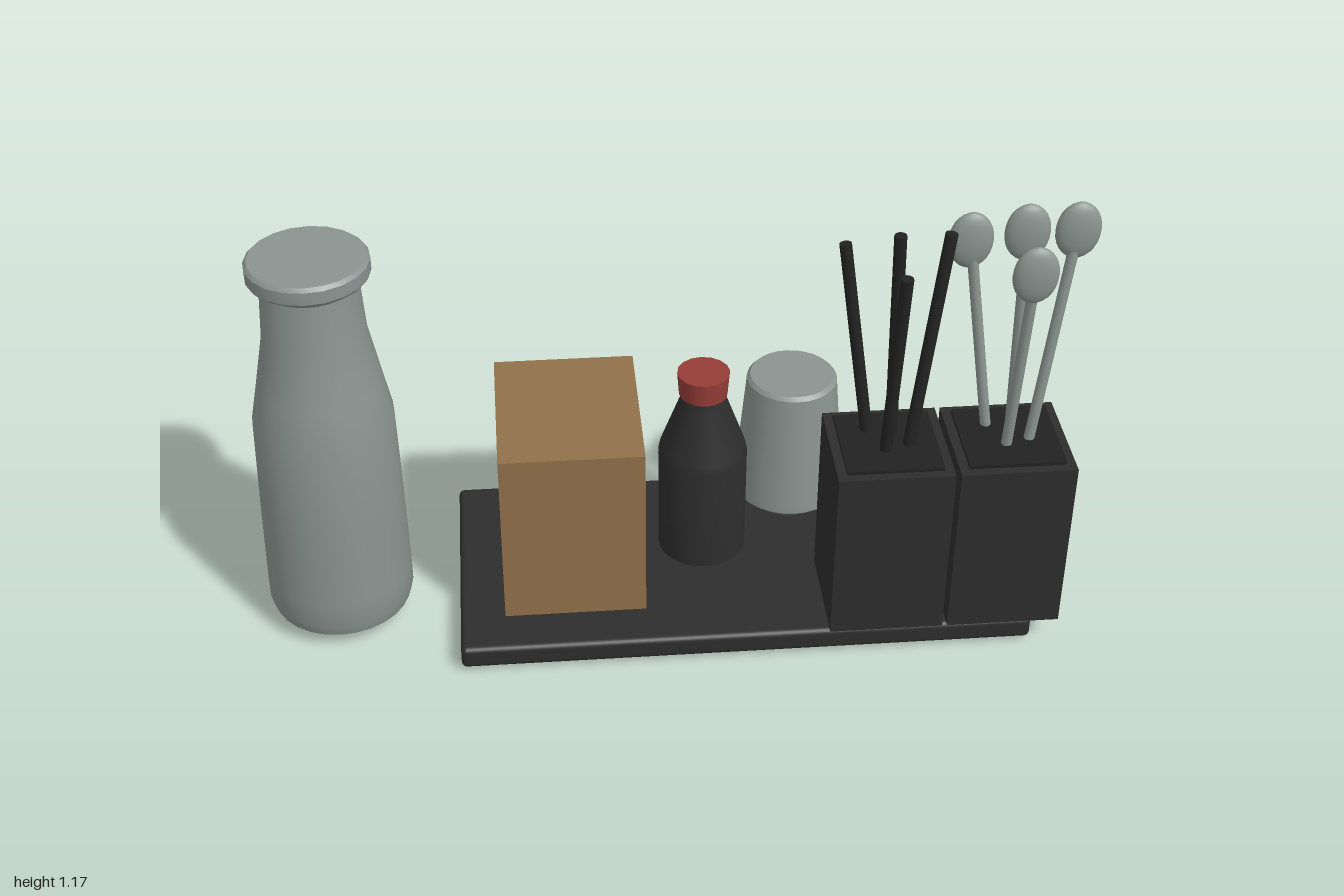
import * as THREE from 'three';
import { toCreasedNormals } from 'three/addons/utils/BufferGeometryUtils.js';
import { RoundedBoxGeometry } from 'three/addons/geometries/RoundedBoxGeometry.js';

const material = (name, color) => Object.assign(new THREE.MeshStandardMaterial({ color }), { name });

export function createModel() {
  const model = new THREE.Group();
  model.name = 'tablewareSet';
  const charcoal = material('charcoal', 0x2d2d2d);
  const black = material('black', 0x222222);
  const glass = material('greyGlass', 0x8a9490);
  const wood = material('tanWood', 0x90704a);
  const red = material('red', 0x963d37);

  const add = (name, geometry, mat, x, y, z, parent = model) => {
    const mesh = new THREE.Mesh(geometry, mat);
    mesh.name = name;
    mesh.position.set(x, y, z);
    parent.add(mesh);
    return mesh;
  };
  // box given by its minimum and maximum on each axis
  const box = (name, mat, x0, x1, y0, y1, z0, z1, parent) =>
    add(name, new THREE.BoxGeometry(x1 - x0, y1 - y0, z1 - z0), mat,
      (x0 + x1) / 2, (y0 + y1) / 2, (z0 + z1) / 2, parent);
  // closed turned shape from [radius, height] pairs, bottom to top
  const turned = (name, mat, profile, x, z, sides = 28) => {
    const points = profile.map(([r, y]) => new THREE.Vector2(r, y));
    return add(name, toCreasedNormals(new THREE.LatheGeometry(points, sides), 0.5), mat, x, 0, z);
  };
  // straight rod between two points
  const rod = (name, mat, from, to, radius, parent) => {
    const dir = to.clone().sub(from);
    const mid = from.clone().add(to).multiplyScalar(0.5);
    const mesh = add(name, new THREE.CylinderGeometry(radius, radius, dir.length(), 10), mat,
      mid.x, mid.y, mid.z, parent);
    mesh.quaternion.setFromUnitVectors(new THREE.Vector3(0, 1, 0), dir.normalize());
  };

  // tray and wooden block
  add('tray', new RoundedBoxGeometry(1.42, 0.06, 0.655, 3, 0.014), charcoal, 0.19, 0.04, 0.0275);
  box('woodenBlock', wood, -0.408, -0.055, 0.07, 0.545, -0.197, 0.235);

  // tall jar with flared lid
  turned('jar', glass, [[0, 0.02], [0.132, 0.02], [0.172, 0.045], [0.181, 0.075], [0.181, 0.14],
    [0.177, 0.35], [0.17, 0.6], [0.15, 0.7], [0.125, 0.83], [0.116, 0.975], [0.13, 0.995], [0, 0.995]], -0.82, 0.07);
  turned('jarLid', glass, [[0, 0.992], [0.14, 0.992], [0.146, 1.0], [0.146, 1.032], [0.138, 1.041], [0, 1.041]],
    -0.82, 0.07, 20);

  // upturned cup
  turned('cup', glass, [[0, 0.075], [0.105, 0.075], [0.145, 0.11], [0.144, 0.13], [0.117, 0.448],
    [0.108, 0.458], [0, 0.458]], 0.36, -0.21);

  // sauce bottle, its base showing under the tray
  turned('sauceBottle', charcoal, [[0, 0.001], [0.083, 0.001], [0.112, 0.03], [0.113, 0.36], [0.108, 0.385],
    [0.059, 0.52], [0.057, 0.54], [0, 0.54]], 0.11, -0.03);
  add('bottleCap', new THREE.CylinderGeometry(0.066, 0.061, 0.063, 16), red, 0.11, 0.5685, -0.03);

  // [base x, base z, tip x, tip y, tip z] measured from the holder centre
  const utensils = [
    [-0.042, -0.05, -0.115, 1.05, -0.09],
    [0.015, -0.045, 0.0, 1.1, -0.032],
    [0.045, 0.015, 0.118, 1.1, -0.032],
    [-0.012, 0.03, 0.0, 1.05, 0.075],
  ];
  // two square holders with inset tops
  ['chopstick', 'spoon'].forEach((kind, i) => {
    const group = new THREE.Group();
    group.name = kind + 'Holder';
    group.position.set(i ? 0.825 : 0.532, 0, 0.22);
    model.add(group);
    box('holderBody', charcoal, -0.14, 0.14, 0.07, 0.536, -0.14, 0.14, group);
    box('holderTop', black, -0.117, 0.117, 0.53, 0.545, -0.117, 0.117, group);
    for (const [bx, bz, tx, ty, tz] of utensils) {
      const from = new THREE.Vector3(bx, 0.52, bz), to = new THREE.Vector3(tx, ty, tz);
      rod(i ? 'spoonHandle' : 'chopstick', i ? glass : black, from, to, i ? 0.013 : 0.015, group);
      if (i) {
        const bowl = new THREE.SphereGeometry(1, 20, 14).scale(0.054, 0.073, 0.023);
        add('spoonBowl', bowl, glass, tx, ty - 0.005, tz, group);
      }
    }
  });
  return model;
}
